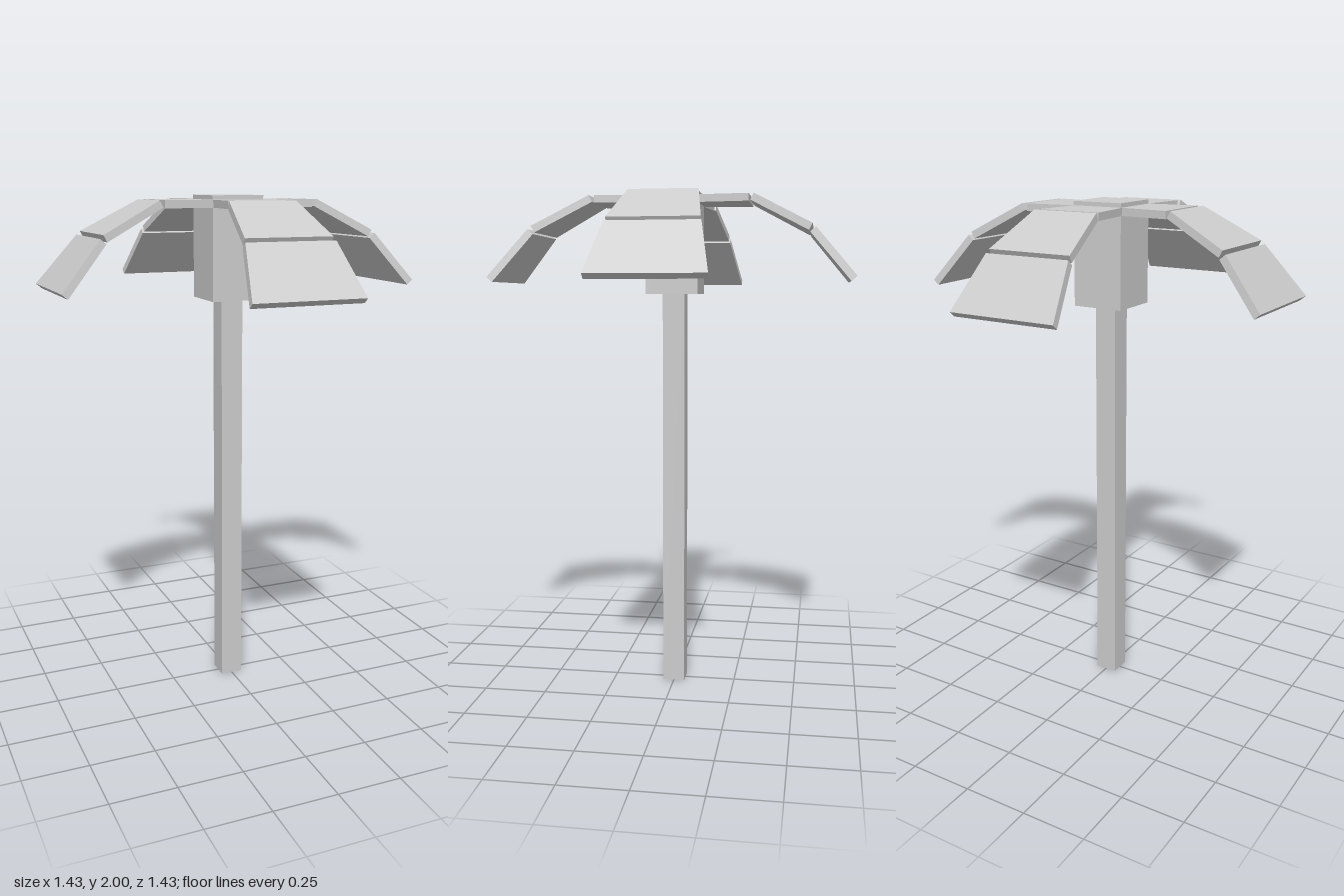
import * as THREE from 'three';

const THICK = 0.029;
const material = new THREE.MeshStandardMaterial({ color: 0xcccccc, flatShading: true });
const openMaterial = new THREE.MeshStandardMaterial({ color: 0xcccccc, flatShading: true, side: THREE.DoubleSide });

// Frond plates: top edge start [x, y], end [x, y], half-width at start and end
const PLATES = [
  { from: [0.103, 1.984], to: [0.3, 1.984], widths: [0.104, 0.127] },
  { from: [0.32, 1.984], to: [0.544, 1.867], widths: [0.131, 0.167] },
  { from: [0.557, 1.854], to: [0.713, 1.67], widths: [0.171, 0.213] },
];

function addMesh(parent, name, geometry, mat = material) {
  const mesh = new THREE.Mesh(geometry, mat);
  mesh.name = name;
  parent.add(mesh);
  return mesh;
}

// A flat slab that widens along +x, with its top inner edge at the origin
function plateGeometry(length, [w0, w1]) {
  const geometry = new THREE.BoxGeometry(length, THICK, 2).translate(length / 2, -THICK / 2, 0);
  const p = geometry.attributes.position;
  for (let i = 0; i < p.count; i++) {
    p.setZ(i, p.getZ(i) * THREE.MathUtils.lerp(w0, w1, p.getX(i) / length));
  }
  geometry.computeVertexNormals();
  return geometry;
}

// One drooping frond of three separate plates, pointing along +x
function createFrond() {
  const frond = new THREE.Group();
  PLATES.forEach(({ from, to, widths }, i) => {
    const dx = to[0] - from[0], dy = to[1] - from[1];
    const plate = addMesh(frond, `frondPlate${i + 1}`, plateGeometry(Math.hypot(dx, dy), widths));
    plate.position.set(from[0], from[1], -0.003);
    plate.rotation.z = Math.atan2(dy, dx);
  });
  return frond;
}

export function createModel() {
  const model = new THREE.Group();
  model.name = 'palmTree';

  // Square trunk, open at the bottom
  const trunk = new THREE.CylinderGeometry(0.044 * Math.SQRT2, 0.044 * Math.SQRT2, 1.605, 4, 1, true);
  trunk.rotateY(Math.PI / 4).translate(0, 0.8025, 0);
  addMesh(model, 'trunk', trunk, openMaterial);

  // Block at the top that holds the fronds
  addMesh(model, 'crown', new THREE.BoxGeometry(0.206, 0.395, 0.206)).position.y = 1.8025;

  // Four fronds around the crown
  ['left', 'back', 'right', 'front'].forEach((side, i) => {
    const frond = createFrond();
    frond.name = `${side}Frond`;
    frond.rotation.y = (i * Math.PI) / 2;
    model.add(frond);
  });

  return model;
}
